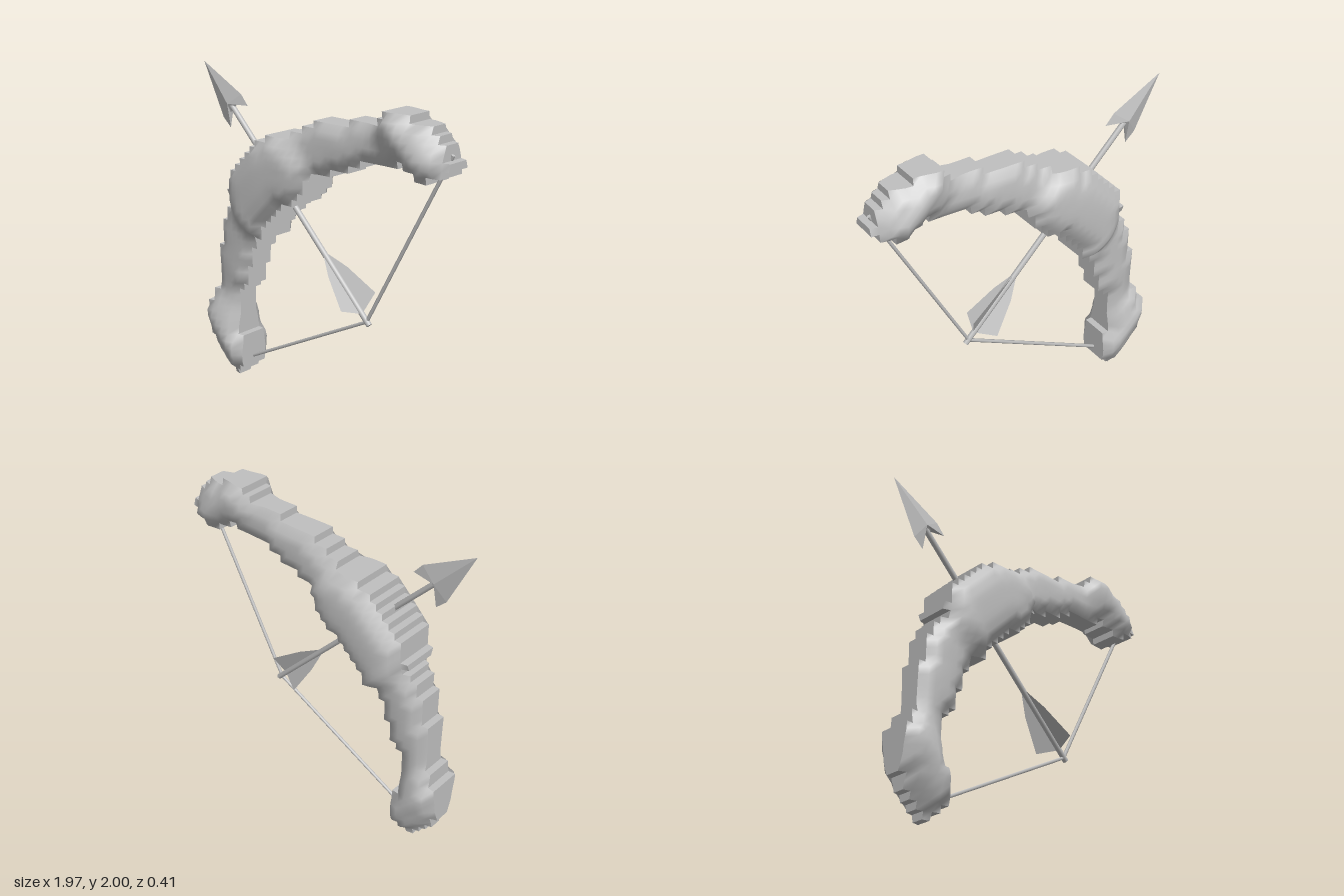
import * as THREE from 'three';

const grey = new THREE.MeshStandardMaterial({ color: 0xc0c0c0, side: THREE.DoubleSide });
grey.name = 'plain grey';

// Bow outline on a square grid: per row (bottom to top) the start and end columns of each run.
const CELL = 0.0436, X0 = -0.89;
const ROWS = [
  [4, 5], [3, 6], [2, 7], [1, 7], [1, 7], [0, 7], [0, 7], [0, 6], [0, 6], [0, 6], [0, 6],
  [1, 6], [1, 6], [2, 6], [2, 7], [2, 8], [2, 8], [2, 8], [2, 9], [2, 9], [3, 9], [3, 10],
  [3, 10], [3, 12], [4, 12], [4, 13], [5, 14], [6, 15], [5, 16], [6, 18], [6, 19], [6, 20], [7, 20],
  [8, 21], [9, 24], [10, 27], [11, 29, 38, 40], [13, 35, 36, 42], [17, 43], [19, 42], [21, 42], [27, 41], [32, 40], [33, 37],
];
const filled = (c, r) => {
  const row = ROWS[r];
  if (!row) return false;
  for (let i = 0; i < row.length; i += 2) if (c >= row[i] && c < row[i + 1]) return true;
  return false;
};

// Half depth of the bow by distance from its middle: thick grip, slim limbs, bulging ends.
const DEPTH = [[0, 0.205], [0.28, 0.2], [0.39, 0.13], [0.6, 0.122], [0.85, 0.105], [0.93, 0.14], [1.03, 0.17], [1.12, 0.135], [1.24, 0.06]];
function depthAt(s) {
  for (let i = 1; i < DEPTH.length; i++) {
    const [a, da] = DEPTH[i - 1], [b, db] = DEPTH[i];
    if (s <= b) return THREE.MathUtils.lerp(da, db, THREE.MathUtils.smoothstep(s, a, b));
  }
  return 0.06;
}

function geometryFrom(positions, index) {
  const g = new THREE.BufferGeometry();
  g.setAttribute('position', new THREE.Float32BufferAttribute(positions, 3));
  if (index) g.setIndex(index);
  g.computeVertexNormals();
  return g;
}

function mesh(name, geometry) {
  const m = new THREE.Mesh(geometry, grey);
  m.name = name;
  return m;
}

function buildBow() {
  const cols = 43, rows = ROWS.length, edges = [];
  const around = (c, r) => [filled(c - 1, r - 1), filled(c, r - 1), filled(c - 1, r), filled(c, r)];
  for (let r = 0; r <= rows; r++) for (let c = 0; c <= cols; c++) {
    const a = around(c, r);
    if (a.includes(true) && a.includes(false)) edges.push([c, r]);
  }
  // Rounded swelling from the stepped rim towards the middle
  const height = (c, r) => {
    let d = Infinity;
    for (const [ec, er] of edges) d = Math.min(d, Math.hypot(c - ec, r - er));
    const s = Math.abs(X0 + c * CELL + r * CELL - 1.03) / Math.SQRT2;
    const reach = s < 0.36 ? 0.15 : 0.1;
    const k = 1 - Math.min(1, d * CELL / reach);
    return depthAt(s) * (0.62 + 0.38 * Math.sqrt(1 - k * k));
  };
  const point = (c, r, side) => [X0 + c * CELL, r * CELL, side * height(c, r)];

  const bow = new THREE.Group();
  bow.name = 'bow';
  for (const side of [1, -1]) {
    const pos = [], index = [], ids = new Map();
    const id = (c, r) => {
      const key = r * 100 + c;
      if (!ids.has(key)) { ids.set(key, pos.length / 3); pos.push(...point(c, r, side)); }
      return ids.get(key);
    };
    for (let r = 0; r < rows; r++) for (let c = 0; c < cols; c++) {
      if (!filled(c, r)) continue;
      const q = [id(c, r), id(c + 1, r), id(c + 1, r + 1), id(c, r + 1)];
      if (side < 0) q.reverse();
      index.push(q[0], q[1], q[2], q[0], q[2], q[3]);
    }
    bow.add(mesh(side > 0 ? 'bowFront' : 'bowBack', geometryFrom(pos, index)));
  }

  // Stepped rim walls joining front and back
  const rim = [];
  const wall = (a, b) => {
    const p = [point(...a, 1), point(...a, -1), point(...b, -1), point(...b, 1)];
    for (const i of [0, 1, 2, 0, 2, 3]) rim.push(...p[i]);
  };
  for (let r = 0; r < rows; r++) for (let c = 0; c < cols; c++) {
    if (!filled(c, r)) continue;
    if (!filled(c, r - 1)) wall([c, r], [c + 1, r]);
    if (!filled(c + 1, r)) wall([c + 1, r], [c + 1, r + 1]);
    if (!filled(c, r + 1)) wall([c + 1, r + 1], [c, r + 1]);
    if (!filled(c - 1, r)) wall([c, r + 1], [c, r]);
  }
  bow.add(mesh('bowRim', geometryFrom(rim)));
  return bow;
}

function rod(name, a, b, radius) {
  const from = new THREE.Vector3(...a), to = new THREE.Vector3(...b);
  const m = mesh(name, new THREE.CylinderGeometry(radius, radius, from.distanceTo(to), 6));
  m.position.copy(from).add(to).multiplyScalar(0.5);
  m.quaternion.setFromUnitVectors(new THREE.Vector3(0, 1, 0), to.sub(from).normalize());
  return m;
}

// Arrow built along +y from its tail, then tilted
function buildArrow() {
  const arrow = new THREE.Group();
  arrow.name = 'arrow';
  arrow.add(rod('shaft', [0, 0, 0], [0, 1.65, 0], 0.018));

  // Barbed head: an outline raised to a ridge on both faces
  const tip = 1.948;
  const half = [[0.35, 0.115], [0.435, 0.11], [0.37, 0.04]];
  const outline = [[0, tip], ...half.map(([u, v]) => [-v, tip - u]), ...half.map(([u, v]) => [v, tip - u]).reverse()];
  const head = [];
  for (const z of [0.03, -0.03]) outline.forEach((p, i) => {
    const q = outline[(i + 1) % outline.length];
    const [a, b] = z > 0 ? [p, q] : [q, p];
    head.push(0, tip - 0.33, z, ...a, 0, ...b, 0);
  });
  arrow.add(mesh('arrowHead', geometryFrom(head)));

  // Three vanes spaced around the tail
  const vane = new THREE.Shape([[0, 0.53], [0, 0.08], [0.135, 0.14], [0.075, 0.36]].map(p => new THREE.Vector2(...p)));
  for (let i = 0; i < 3; i++) {
    const m = mesh('vane', new THREE.ShapeGeometry(vane));
    m.rotation.y = -Math.PI / 2 + i * Math.PI * 2 / 3;
    arrow.add(m);
  }
  arrow.rotation.z = Math.PI / 4;
  arrow.position.set(0.395, 0.625, 0);
  return arrow;
}

export function createModel() {
  const model = new THREE.Group();
  model.name = 'bowAndArrow';
  model.add(
    buildBow(),
    buildArrow(),
    rod('lowerString', [0.38, 0.645, 0], [-0.6, 0.135, 0], 0.011),
    rod('upperString', [0.375, 0.645, 0], [0.95, 1.73, 0], 0.011),
  );
  return model;
}
